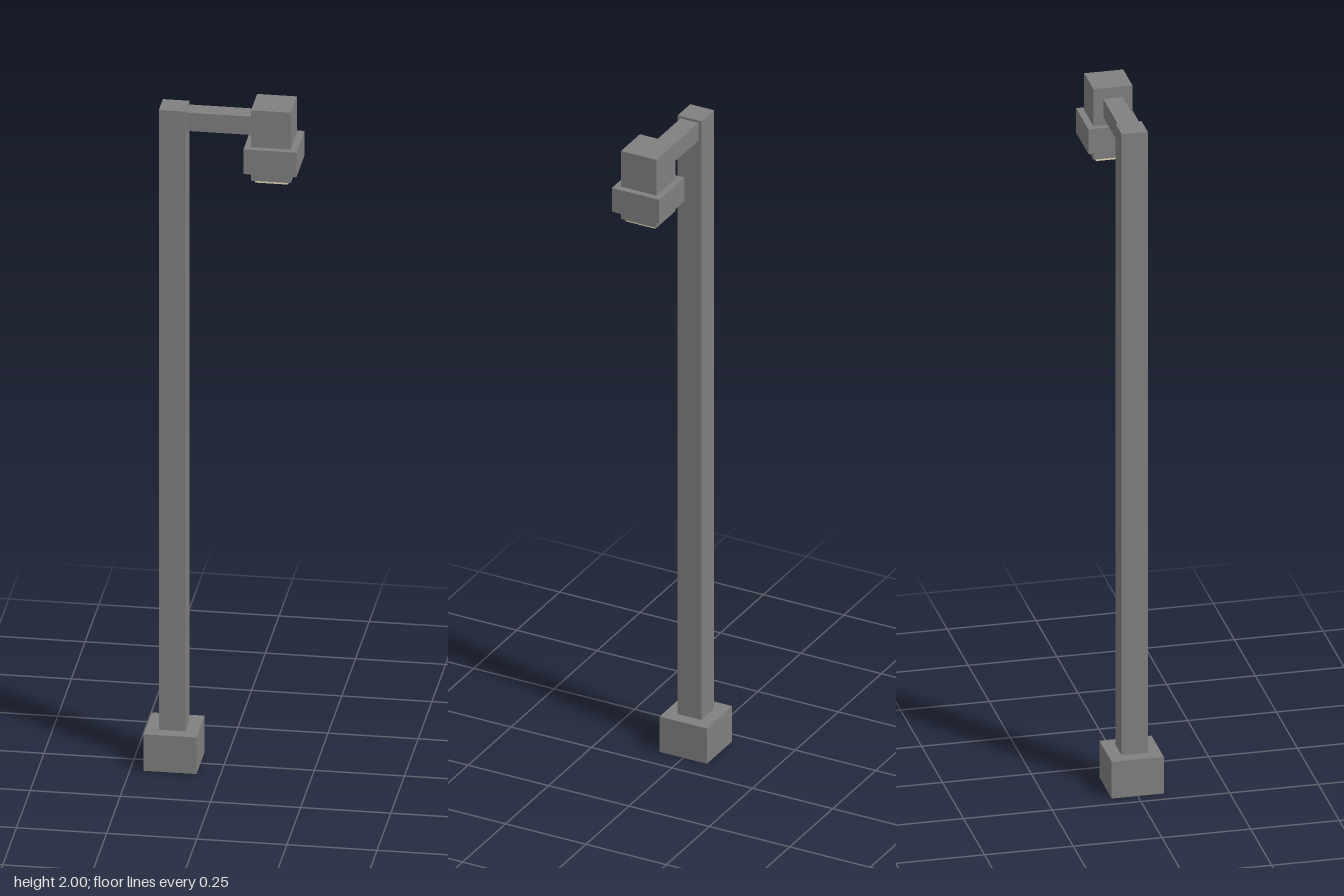
import * as THREE from 'three';

export function createModel() {
  const group = new THREE.Group();
  group.name = 'streetLamp';

  const greyMetal = new THREE.MeshStandardMaterial({ color: 0x808080 });
  greyMetal.name = 'greyMetal';
  const warmLight = new THREE.MeshStandardMaterial({ color: 0xfff2cc });
  warmLight.name = 'warmLight';

  // Box centred on z = 0, given by its x centre, bottom and top
  function addBox(name, x, bottom, top, width, depth, material = greyMetal) {
    const mesh = new THREE.Mesh(new THREE.BoxGeometry(width, top - bottom, depth), material);
    mesh.name = name;
    mesh.position.set(x, (bottom + top) / 2, 0);
    group.add(mesh);
  }

  const poleX = -0.139;
  const lampX = 0.138;

  // Post and arm
  addBox('base', poleX, 0, 0.11, 0.147, 0.147);
  addBox('pole', poleX, 0.11, 1.975, 0.0735, 0.0735);
  addBox('arm', -0.01, 1.913, 1.968, 0.185, 0.055);

  // Lamp head, from the top down
  addBox('lampHousing', lampX, 1.889, 2, 0.11, 0.11);
  addBox('lampCollar', lampX, 1.815, 1.889, 0.147, 0.147);
  addBox('lampRim', lampX, 1.788, 1.815, 0.11, 0.11);
  addBox('lampLens', lampX, 1.779, 1.788, 0.092, 0.092, warmLight);

  return group;
}
